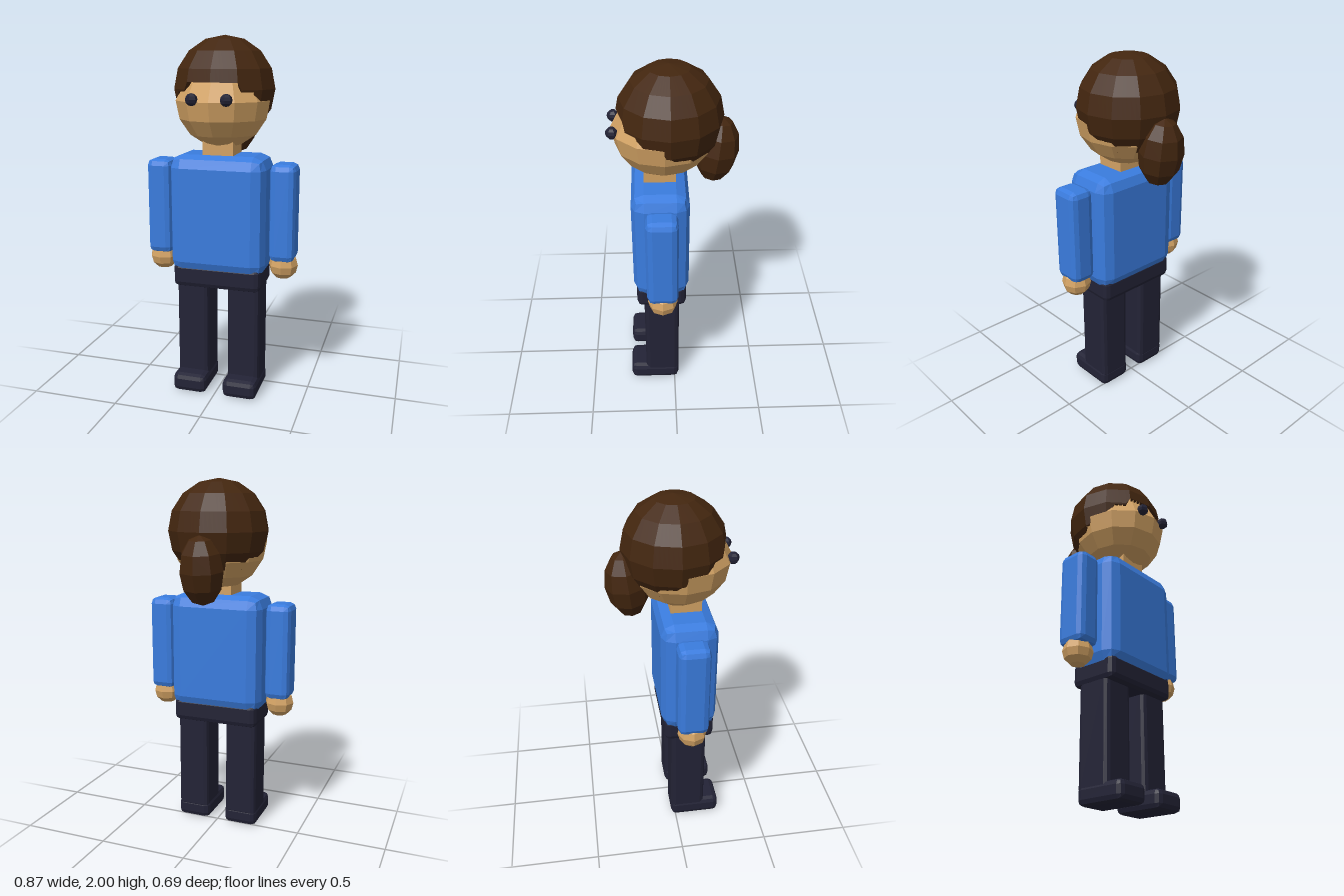
import * as THREE from 'three';
import { RoundedBoxGeometry } from 'three/addons/geometries/RoundedBoxGeometry.js';

const colour = (name, hex) => {
  const m = new THREE.MeshStandardMaterial({ color: hex, flatShading: true });
  m.name = name;
  return m;
};

// Low-poly cap of hair: a 12 x 8 faceted sphere trimmed along a stepped hairline
function hairGeometry(r, centreY) {
  const rings = 8, facet = Math.PI / 6;
  const ringY = i => r * Math.cos(i * Math.PI / rings);
  const ringR = i => r * Math.sin(i * Math.PI / rings);
  // [angle from the front in degrees, height of the hairline]
  const steps = [[31, 1.76], [51, 1.71], [81, 1.655], [92, 1.61], [110, 1.585], [181, 1.51]];
  const radiusAt = y => {
    let i = 0;
    while (i < rings - 1 && ringY(i + 1) > y) i++;
    const t = (ringY(i) - y) / (ringY(i) - ringY(i + 1));
    return ringR(i) + t * (ringR(i + 1) - ringR(i));
  };
  const cols = 72;
  const geo = new THREE.SphereGeometry(1, cols, rings);
  const p = geo.attributes.position;
  for (let k = 0; k < p.count; k++) {
    const row = Math.floor(k / (cols + 1)), a = (k % (cols + 1)) / cols * Math.PI * 2;
    const dx = -Math.cos(a), dz = Math.sin(a);
    const fromFront = Math.acos(Math.max(-1, Math.min(1, dz))) * 180 / Math.PI;
    const line = steps.find(s => fromFront < s[0])[1] - centreY;
    const y = Math.max(ringY(row), line);
    const flat = Math.cos(facet / 2) / Math.cos((a % facet) - facet / 2);
    // the last row folds inward as a lip
    const rad = radiusAt(y) * flat * (row === rings ? 0.85 : 1);
    p.setXYZ(k, dx * rad, y, dz * rad);
  }
  return geo;
}

export function createModel() {
  const model = new THREE.Group();
  model.name = 'figure';
  const shirt = colour('shirt blue', 0x3a7cde);
  const skin = colour('skin', 0xd2a264);
  const hair = colour('hair brown', 0x43260f);
  const dark = colour('dark navy', 0x232336);
  hair.side = THREE.DoubleSide;

  const add = (name, geo, mat, x, y, z) => {
    const m = new THREE.Mesh(geo, mat);
    m.name = name;
    m.position.set(x, y, z);
    model.add(m);
    return m;
  };
  const block = (w, h, d, r) => new RoundedBoxGeometry(w, h, d, 1, r);

  // Body
  add('torso', block(0.54, 0.665, 0.31, 0.07), shirt, 0, 1.037, 0.075);
  add('hips', block(0.5, 0.14, 0.28, 0.03), dark, 0, 0.692, 0.075);
  add('neck', new THREE.BoxGeometry(0.17, 0.16, 0.17), skin, 0, 1.38, 0.075);

  // Head, drawn in slightly where the hair covers it
  const headGeo = new THREE.SphereGeometry(0.26, 12, 8);
  const p = headGeo.attributes.position;
  for (let i = 0; i < p.count; i++) {
    const s = p.getY(i) > 0.05 ? 0.9 : 1;
    p.setXYZ(i, p.getX(i) * s, p.getY(i) * s, p.getZ(i) * s * 1.06);
  }
  add('head', headGeo, skin, 0, 1.66, 0.05);
  add('hair', hairGeometry(0.28, 1.72), hair, 0, 1.72, 0.02);

  // Ponytail
  const tail = add('ponytail', new THREE.SphereGeometry(1, 8, 6), hair, 0, 1.522, -0.228);
  tail.scale.set(0.125, 0.189, 0.12);
  tail.rotation.x = -0.12;

  // Paired parts
  for (const s of [1, -1]) {
    const side = s > 0 ? 'left' : 'right';
    const eye = add(side + 'Eye', new THREE.SphereGeometry(0.033, 6, 6), dark, s * 0.093, 1.675, 0.313);
    eye.rotation.y = Math.PI / 6;
    add(side + 'Arm', block(0.142, 0.54, 0.17, 0.035), shirt, s * 0.352, 1.06, 0.07);
    add(side + 'Hand', new THREE.SphereGeometry(0.082, 8, 6), skin, s * 0.353, 0.762, 0.07);
    add(side + 'Leg', block(0.186, 0.6, 0.2, 0.025), dark, s * 0.148, 0.36, 0.075);
    add(side + 'Shoe', block(0.196, 0.107, 0.29, 0.03), dark, s * 0.147, 0.0535, 0.12);
  }
  return model;
}
